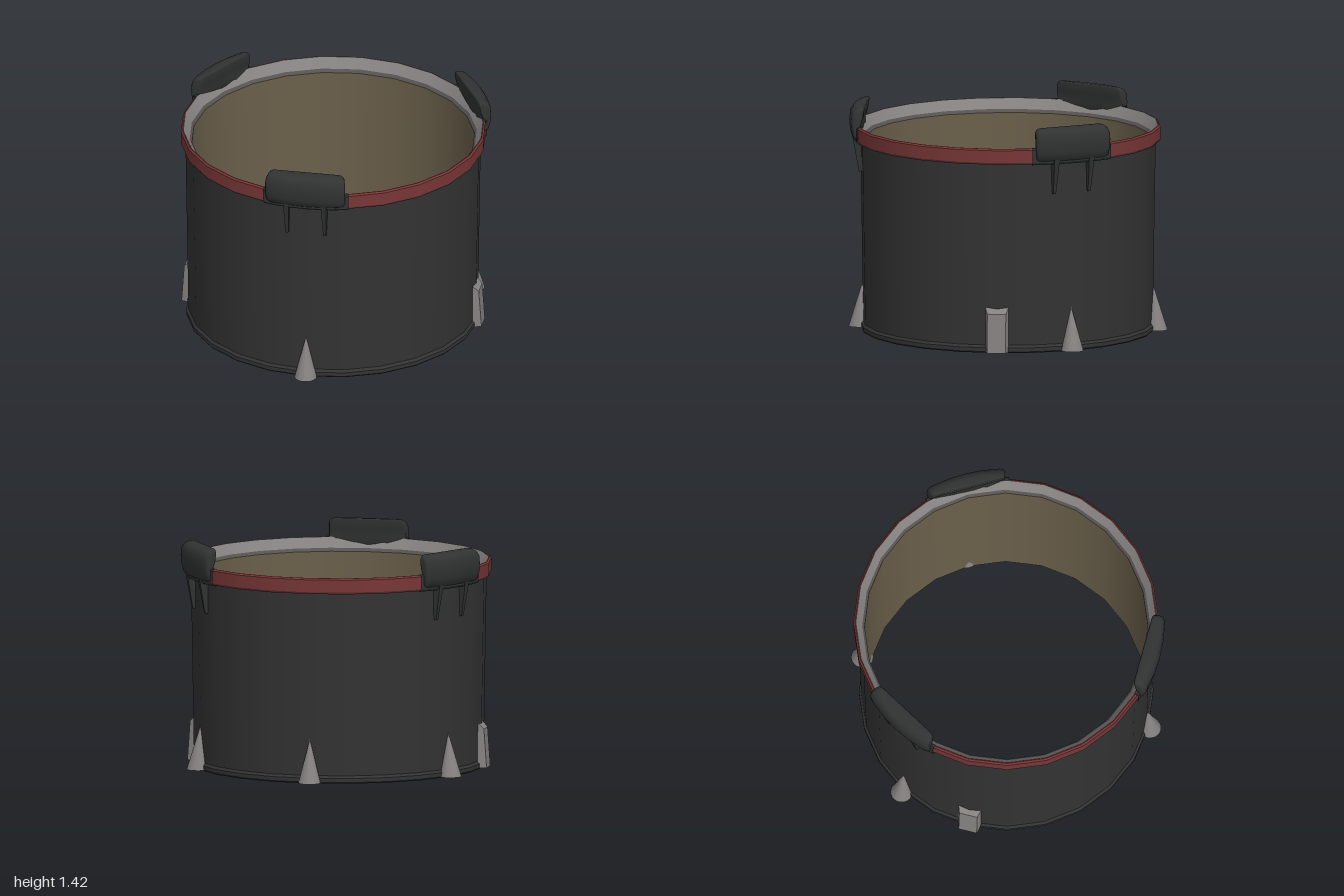
import * as THREE from 'three';
import { mergeGeometries } from 'three/addons/utils/BufferGeometryUtils.js';

const SIDES = 24;
const mat = (name, color) => Object.assign(new THREE.MeshStandardMaterial({ color }), { name });

// Lathe with a sharp edge at every profile point
function sharpLathe(points, segments = SIDES, start = 0, length = Math.PI * 2) {
  const strips = [];
  for (let i = 0; i < points.length - 1; i++) {
    const pair = [points[i], points[i + 1]].map(([r, y]) => new THREE.Vector2(r, y));
    strips.push(new THREE.LatheGeometry(pair, segments, start, length));
  }
  return mergeGeometries(strips);
}

// Box whose corners are placed by a rule; sx, sy, sz are -1 or 1
function ruledBox(rule) {
  const g = new THREE.BoxGeometry(2, 2, 2);
  const p = g.attributes.position;
  for (let i = 0; i < p.count; i++) p.setXYZ(i, ...rule(p.getX(i), p.getY(i), p.getZ(i)));
  g.computeVertexNormals();
  return g;
}

// Padded grip: a closed cross-section swept along the rim, shrinking at its ends
function padGeometry() {
  const profile = [
    [0.915, 1.205], [0.95, 1.208], [0.975, 1.228], [0.988, 1.27], [0.993, 1.33],
    [0.988, 1.38], [0.97, 1.408], [0.94, 1.42], [0.89, 1.423], [0.884, 1.412],
    [0.892, 1.36], [0.91, 1.3],
  ];
  const half = 0.262, n = profile.length, mid = [0.945, 1.315];
  const ends = [[-1, 0], [-1, 0.78], [-0.97, 0.91], [-0.91, 0.98], [-0.84, 1], [-0.4, 1]];
  const stations = [...ends, [0, 1], ...ends.map(([t, s]) => [-t, s]).reverse()];
  const pos = [], index = [];
  stations.forEach(([t, s], i) => {
    const a = t * half;
    profile.forEach(([r0, y0], j) => {
      // the inner face stays nearly straight while the outer face follows the rim
      const r = j >= 8 ? Math.min(r0 / Math.cos(a), r0 + 0.03) : r0;
      const r1 = mid[0] + (r - mid[0]) * s, y = mid[1] + (y0 - mid[1]) * s;
      pos.push(r1 * Math.sin(a), y, r1 * Math.cos(a));
      if (i < stations.length - 1) {
        const k = (j + 1) % n, A = i * n + j, B = A + n, D = i * n + k, C = D + n;
        index.push(A, B, D, C, D, B);
      }
    });
  });
  const g = new THREE.BufferGeometry();
  g.setAttribute('position', new THREE.Float32BufferAttribute(pos, 3));
  g.setIndex(index);
  g.computeVertexNormals();
  return g;
}

export function createModel() {
  const model = new THREE.Group();
  model.name = 'drumShell';
  const charcoal = mat('charcoal', 0x333333);
  const padBlack = mat('padBlack', 0x313333);
  const red = mat('darkRed', 0x783636);
  const grey = mat('steelGrey', 0x868282);
  const darkGrey = mat('darkGrey', 0x565353);
  const khaki = mat('khaki', 0x6a5f4a);

  const add = (parent, name, geometry, material) => {
    const m = new THREE.Mesh(geometry, material);
    m.name = name;
    parent.add(m);
    return m;
  };

  // Shell: outer wall, lining, foot and top ring
  add(model, 'outerWall', sharpLathe([[0.907, 0.03], [0.926, 1.21]]), charcoal);
  add(model, 'innerLining', sharpLathe([[0.885, 1.215], [0.872, 0.0]]), khaki);
  add(model, 'footRing', sharpLathe([[0.872, 0], [0.915, 0], [0.921, 0.008], [0.921, 0.033], [0.906, 0.05]]), charcoal);
  add(model, 'topRing', sharpLathe([[0.92, 1.2], [0.948, 1.2], [0.955, 1.212], [0.955, 1.29], [0.945, 1.3], [0.94, 1.3]]), red);
  add(model, 'rimBevel', sharpLathe([[0.94, 1.3], [0.9, 1.235]]), grey);
  add(model, 'rimLip', sharpLathe([[0.9, 1.235], [0.885, 1.215]]), darkGrey);

  // Grips: a pad, its clip over the ring and two prongs, three times around
  const pad = padGeometry();
  const clipArc = 0.286;
  const clip = sharpLathe(
    [[0.92, 1.197], [0.955, 1.197], [0.964, 1.21], [0.964, 1.292], [0.955, 1.303], [0.936, 1.303]],
    6, -clipArc, clipArc * 2);
  const prong = ruledBox((sx, sy, sz) => [
    sx * (sy > 0 ? 0.018 : 0.009),
    sy > 0 ? 1.23 : 1.005,
    sz < 0 ? 0.89 : (sy > 0 ? 0.965 : 0.925),
  ]);
  for (let i = 0; i < 3; i++) {
    const grip = new THREE.Group();
    grip.name = 'grip';
    grip.rotation.y = i * Math.PI * 2 / 3;
    add(grip, 'pad', pad, padBlack);
    const c = add(grip, 'clip', clip, padBlack);
    c.material.side = THREE.DoubleSide;
    for (const s of [-1, 1]) add(grip, 'prong', prong, padBlack).position.x = s * 0.12;
    model.add(grip);
  }

  // Spikes: cones leaning against the wall
  const spike = new THREE.ConeGeometry(0.07, 0.275, 20);
  spike.translate(0, 0.1425, 0);
  const p = spike.attributes.position;
  for (let i = 0; i < p.count; i++) p.setZ(i, p.getZ(i) + 0.93 - 0.06 * p.getY(i));
  spike.computeVertexNormals();
  for (const deg of [0, 120, 180, 240]) {
    add(model, 'spike', spike, grey).rotation.y = THREE.MathUtils.degToRad(deg);
  }

  // Side blocks: chamfered wedges on both sides
  const block = ruledBox((sx, sy, sz) => [
    sx * (sz > 0 ? 0.058 : 0.073),
    sy < 0 ? 0.005 : (sz > 0 ? 0.25 : 0.29),
    sz < 0 ? 0.9 : (sy > 0 ? 0.937 : 0.954),
  ]);
  for (const s of [-1, 1]) add(model, 'sideBlock', block, grey).rotation.y = s * Math.PI / 2;

  return model;
}
